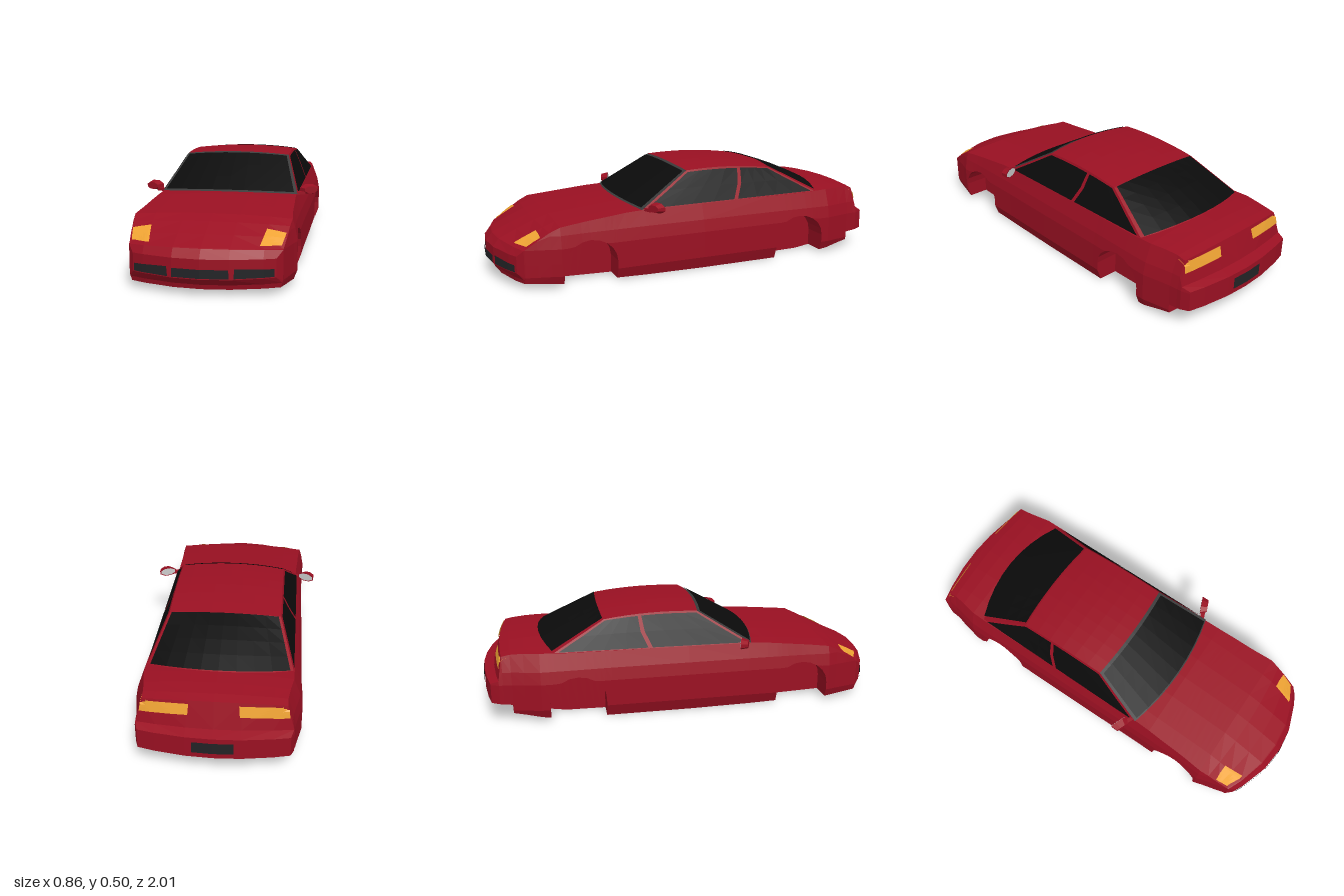
import * as THREE from 'three';

const mat = (color) => new THREE.MeshStandardMaterial({ color, flatShading: true, side: THREE.DoubleSide });
const paint = mat(0x9a1022), glass = mat(0x0b0b0b), trim = mat(0x3a3a3a);
const dark = mat(0x222326), amber = mat(0xeda233), silver = mat(0xcccccc);
const { lerp, clamp } = THREE.MathUtils;

// Lower body stations: [z, top centre y, top edge y, half width, floor y, bow in plan]
const stations = [
  [1, .125, .125, .305, .125, .085], [1, .165, .16, .305, .08, .085],
  [.97, .202, .19, .33, .05, .085], [.965, .205, .192, .33, .03, .085],
  [.88, .242, .228, .345, .026, .055], [.79, .279, .265, .36, .022, .025],
  [.72, .3, .287, .374, .02, 0], [.6, .312, .3, .368, .015, 0],
  [.4, .332, .319, .367, .008, 0], [.3, .335, .324, .367, .004, 0],
  [0, .335, .326, .37, 0, 0], [-.38, .336, .327, .372, 0, 0],
  [-.6, .348, .329, .378, .002, 0], [-.72, .355, .334, .379, .02, 0],
  [-.8, .352, .334, .363, .035, -.005], [-.87, .345, .33, .351, .045, -.015],
  [-.87, .345, .33, .351, .09, -.015], [-.915, .335, .322, .347, .093, -.02],
  [-.95, .215, .21, .347, .096, -.035], [-1, .202, .197, .332, .1, -.045],
  [-1, .15, .15, .332, .15, -.045],
];
const arches = [{ c: .58, r: .13 }, { c: -.545, r: .135 }];

// Width factor of the flank at height y
const flank = [[-.01, .93], [.06, 1], [.19, 1], [.25, .97], [.31, .92], [.36, .85]];
function widthAt(y) {
  const i = Math.max(1, flank.findIndex((p) => p[0] >= y));
  const [a, b] = [flank[i - 1], flank[i]];
  return lerp(a[1], b[1], (y - a[0]) / (b[0] - a[0]));
}

function stationAt(z) {
  const i = stations.findIndex((s) => s[0] <= z);
  const [a, b] = [stations[i - 1], stations[i]];
  const t = (z - a[0]) / (b[0] - a[0]);
  return a.map((v, k) => lerp(v, b[k], t));
}

// Half ring from the top centre, down the flank, around the wheel pocket to the floor centre
function halfRing({ s, arch }) {
  const [z, top, edge, w, floor, bow] = s;
  const low = arch ?? floor;
  const pts = [];
  const xe = w * widthAt(edge);
  for (const x of [0, .12, .255]) pts.push([x, top - (top - edge) * (x / xe) ** 2]);
  for (const y of [1, .25, .19, .12, .06, -1]) {
    const yy = clamp(y, low, edge);
    pts.push([w * widthAt(yy), yy]);
  }
  pts.push([.255, low], [.255, floor], [.12, floor], [0, floor]);
  return pts.map(([x, y]) => new THREE.Vector3(x, y, z - bow * (x / w) ** 2));
}

function bodyGeometry() {
  const list = stations.filter((s) => !arches.some((a) => Math.abs(s[0] - a.c) < a.r)).map((s) => ({ s }));
  for (const { c, r } of arches) {
    list.push({ s: stationAt(c + r) });
    for (let i = 0; i <= 10; i++) {
      const t = (Math.PI * i) / 10;
      list.push({ s: stationAt(c + r * Math.cos(t)), arch: .1 + .115 * Math.sin(t) });
    }
    list.push({ s: stationAt(c - r) });
  }
  list.sort((a, b) => b.s[0] - a.s[0]);
  const rings = list.map(halfRing);
  const pos = [];
  const tri = (a, b, c) => {
    const area = b.clone().sub(a).cross(c.clone().sub(a)).length();
    if (area < 1e-7) return;
    for (const p of [a, b, c]) pos.push(p.x, p.y, p.z);
    for (const p of [a, c, b]) pos.push(-p.x, p.y, p.z);
  };
  for (let i = 0; i + 1 < rings.length; i++) {
    for (let j = 0; j + 1 < rings[i].length; j++) {
      const [a, b, c, d] = [rings[i][j], rings[i][j + 1], rings[i + 1][j], rings[i + 1][j + 1]];
      tri(a, b, c);
      tri(b, d, c);
    }
  }
  const g = new THREE.BufferGeometry();
  g.setAttribute('position', new THREE.Float32BufferAttribute(pos, 3));
  g.computeVertexNormals();
  return g;
}

// Grid surface from a rule fn(u, v) -> [x, y, z]
function patch(fn, nu, nv) {
  const g = new THREE.PlaneGeometry(1, 1, nu, nv);
  const p = g.attributes.position;
  for (let i = 0; i < p.count; i++) p.setXYZ(i, ...fn(p.getX(i) + .5, p.getY(i) + .5));
  g.computeVertexNormals();
  return g;
}

// Bilinear point in a four-cornered area: bottom start, bottom end, top end, top start
const inQuad = (q, u, v) => [0, 1].map((k) => lerp(lerp(q[0][k], q[1][k], u), lerp(q[3][k], q[2][k], u), v));

// Cabin surfaces; u runs across (-1..1), v from the base up
const roofEdge = (v) => .483 - .018 * v + .05 * v * (1 - v);
const screen = (u, v) => [lerp(.335, .264, v) * u, lerp(.335 - .011 * u * u, .498 - .015 * u * u, v),
  lerp(.36 - .045 * u * u, .07 - .015 * u * u, v)];
const rear = (u, v) => [lerp(.333, .264, v) * u, lerp(.357 - .027 * u * u, .48 - .015 * u * u, v) + .03 * v * (1 - v) * (1 - u * u),
  lerp(-.725 + .07 * u * u, -.415 + .01 * u * u, v)];
const roof = (u, v) => [.264 * u, roofEdge(v) + .015 * (1 - u * u), lerp(.07 - .015 * u * u, -.415 + .01 * u * u, v)];
const side = (s, t) => [lerp(lerp(.335, .333, s), .264, t), lerp(lerp(.324, .33, s), roofEdge(s), t),
  lerp(lerp(.315, -.655, s), lerp(.055, -.405, s), t)];

export function createModel() {
  const car = new THREE.Group();
  const add = (name, geometry, material, parent = car) => {
    const m = new THREE.Mesh(geometry, material);
    m.name = name;
    parent.add(m);
    return m;
  };
  const body = add('body', bodyGeometry(), paint);
  body.updateMatrixWorld();

  // Roof, window frames and glass
  const shift = (p, d) => p.map((v, k) => v + d[k]);
  add('roof', patch((u, v) => roof(2 * u - 1, v), 8, 6), paint);
  add('windscreenFrame', patch((u, v) => screen(2 * u - 1, v), 8, 3), trim);
  add('windscreen', patch((u, v) => shift(screen((2 * u - 1) * .955, lerp(.03, .955, v)), [0, .003, .003]), 8, 3), glass);
  add('rearWindowFrame', patch((u, v) => rear(2 * u - 1, v), 8, 4), paint);
  add('rearWindow', patch((u, v) => shift(rear((2 * u - 1) * .955, lerp(.01, .985, v)), [0, .004, -.002]), 8, 4), glass);

  const windows = {
    frontSideWindow: [[.02, .02], [.508, .02], [.6, .94], [.04, .94]],
    rearSideWindow: [[.53, .02], [.98, .02], [.96, .94], [.635, .94]],
  };
  for (const m of [1, -1]) {
    const word = m > 0 ? 'left' : 'right';
    const flip = ([x, y, z]) => [m * x, y, z];
    add(word + 'CabinSide', patch((u, v) => flip(side(u, v)), 8, 1), paint);
    for (const [name, q] of Object.entries(windows)) {
      add(word + name, patch((u, v) => flip(shift(side(...inQuad(q, u, v)), [.003, .001, 0])), 4, 2), glass);
    }
  }

  // Flush panels laid on the nose (dir 1) or tail (dir -1)
  const ray = new THREE.Raycaster();
  const panel = (name, q, dir, material) => add(name, patch((u, v) => {
    const [x, y] = inQuad(q, u, v);
    ray.set(new THREE.Vector3(x, y, 2 * dir), new THREE.Vector3(0, 0, -dir));
    const hit = ray.intersectObject(body)[0];
    return [x, y + .002, (hit ? hit.point.z : .85 * dir) + .005 * dir];
  }, 8, 5), material);
  const mirrored = (q, m) => q.map(([x, y]) => [x * m, y]);
  panel('centreGrille', [[-.12, .083], [.12, .083], [.118, .121], [-.118, .121]], 1, dark);
  panel('numberPlate', [[-.09, .125], [.09, .125], [.09, .18], [-.09, .18]], -1, dark);
  for (const m of [1, -1]) {
    const word = m > 0 ? 'left' : 'right';
    panel(word + 'Grille', mirrored([[.138, .083], [.299, .083], [.297, .116], [.142, .125]], m), 1, dark);
    panel(word + 'Headlight', mirrored([[.235, .206], [.322, .204], [.335, .243], [.252, .258]], m), 1, amber);
    panel(word + 'TailLight', mirrored([[.112, .272], [.325, .265], [.318, .315], [.108, .32]], m), -1, amber);

    // Door mirror: tapered housing, glass and stalk
    const mirror = new THREE.Group();
    mirror.name = word + 'Mirror';
    mirror.position.set(m * .392, .341, .268);
    mirror.rotation.y = m * .4;
    const housing = new THREE.CylinderGeometry(.7, 1, 1, 8).rotateY(Math.PI / 8).rotateX(Math.PI / 2);
    add('mirrorHousing', housing.scale(.049, .026, .034), paint, mirror);
    const face = add('mirrorGlass', new THREE.CircleGeometry(1, 8, Math.PI / 8).scale(.042, .021, 1), silver, mirror);
    face.rotation.y = Math.PI;
    face.position.z = -.019;
    add('mirrorStalk', new THREE.BoxGeometry(.045, .014, .02), paint, mirror).position.set(-m * .05, -.016, 0);
    car.add(mirror);
  }
  return car;
}
